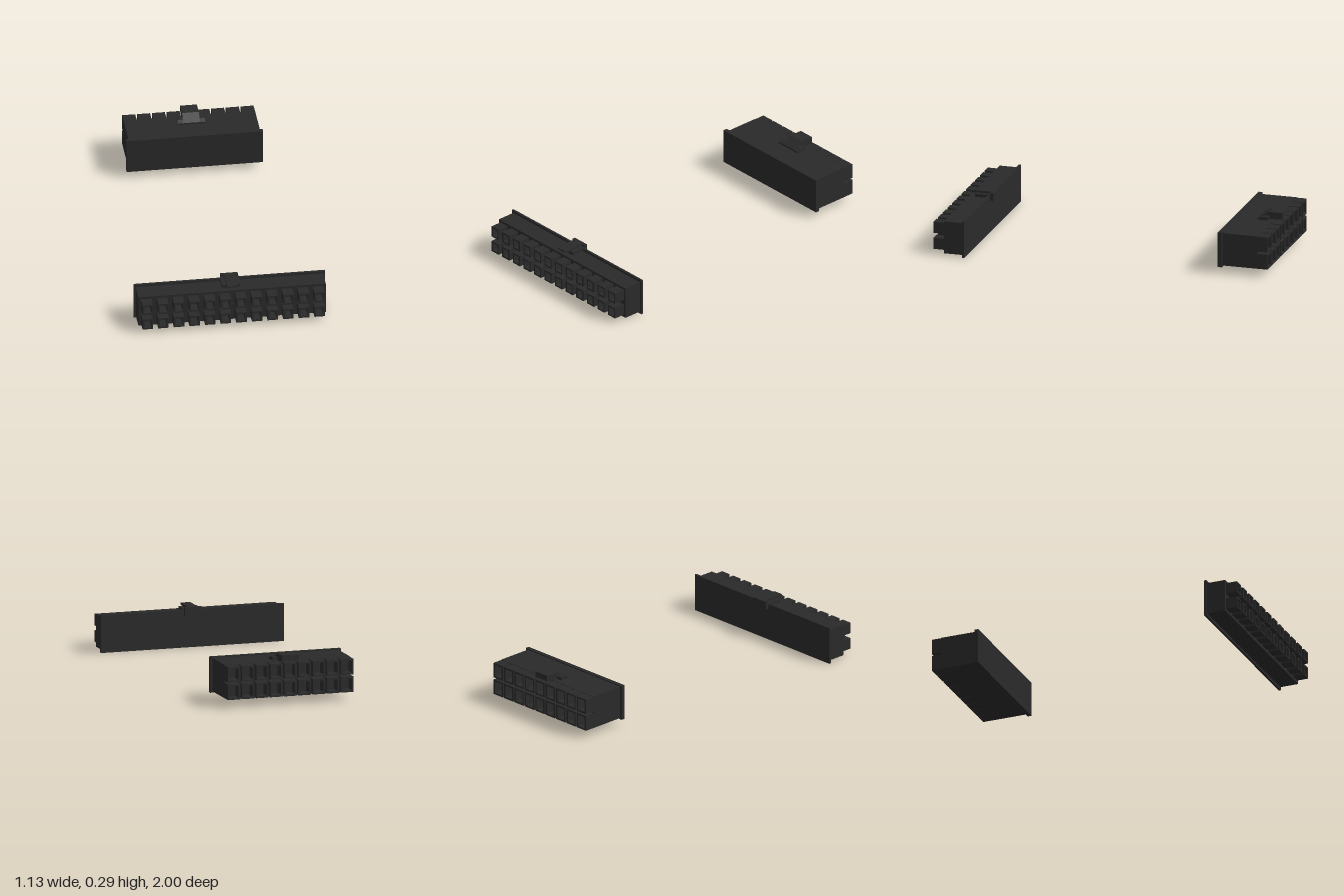
import * as THREE from 'three';

const material = new THREE.MeshStandardMaterial({ color: 0x2a2a2a });

// Box given by its min and max corners
function block(parent, name, [x0, y0, z0], [x1, y1, z1]) {
  const mesh = new THREE.Mesh(new THREE.BoxGeometry(x1 - x0, y1 - y0, z1 - z0), material);
  mesh.name = name;
  mesh.position.set((x0 + x1) / 2, (y0 + y1) / 2, (z0 + z1) / 2);
  parent.add(mesh);
}

// Side profile of [z, y] points, extruded across x from x0 to x1
function profile(parent, name, points, x0, x1) {
  const shape = new THREE.Shape(points.map(([z, y]) => new THREE.Vector2(-z, y)));
  const geometry = new THREE.ExtrudeGeometry(shape, { depth: x1 - x0, bevelEnabled: false });
  geometry.rotateY(Math.PI / 2);
  geometry.translate(x0, 0, 0);
  const mesh = new THREE.Mesh(geometry, material);
  mesh.name = name;
  parent.add(mesh);
}

// Open rectangular tube along +z, w by h with the given wall
function socketGeometry(w, h, depth, wall) {
  const rect = (target, a, b) => target.moveTo(-a, -b).lineTo(a, -b).lineTo(a, b).lineTo(-a, b).closePath();
  const shape = rect(new THREE.Shape(), w / 2, h / 2);
  shape.holes.push(rect(new THREE.Path(), w / 2 - wall, h / 2 - wall));
  return new THREE.ExtrudeGeometry(shape, { depth, bevelEnabled: false });
}

// Two rows of sockets starting at depth z
function socketRows(parent, geometry, columns, pitch, centreX, rows, z) {
  const group = new THREE.Group();
  group.name = 'sockets';
  for (const y of rows) {
    for (let i = 0; i < columns; i++) {
      const socket = new THREE.Mesh(geometry, material);
      socket.name = 'socket';
      socket.position.set(centreX + (i - (columns - 1) / 2) * pitch, y, z);
      group.add(socket);
    }
  }
  parent.add(group);
}

// Long connector, sockets facing the front
function longConnector() {
  const g = new THREE.Group();
  g.name = 'longConnector';
  block(g, 'flange', [-0.565, 0, 0.803], [0.565, 0.225, 0.817]);
  block(g, 'housing', [-0.553, 0.014, 0.81], [0.553, 0.21, 0.93]);
  socketRows(g, socketGeometry(0.062, 0.068, 0.07, 0.01), 12, 0.0922, 0, [0.064, 0.162], 0.93);
  // Latch: broad base, thin lever and hook over the flange
  block(g, 'latchBase', [-0.055, 0.2, 0.8], [0.055, 0.23, 0.895]);
  profile(g, 'latchLever', [[0.79, 0.226], [0.895, 0.226], [0.935, 0.233], [0.935, 0.242], [0.79, 0.242]], -0.03, 0.03);
  block(g, 'latchHook', [-0.052, 0.192, 0.783], [0.052, 0.242, 0.803]);
  return g;
}

// Shorter connector, sockets facing the back
function shortConnector() {
  const g = new THREE.Group();
  g.name = 'shortConnector';
  block(g, 'flange', [-0.397, 0.041, -0.724], [0.409, 0.254, -0.7]);
  block(g, 'housing', [-0.382, 0.048, -0.938], [0.394, 0.247, -0.71]);
  socketRows(g, socketGeometry(0.077, 0.092, 0.062, 0.011), 9, 0.0873, 0.006, [0.094, 0.199], -1);
  // Ramped catch with a wider foot
  profile(g, 'catchFoot', [[-0.845, 0.24], [-0.845, 0.256], [-0.87, 0.267], [-0.907, 0.267], [-0.907, 0.24]], -0.075, 0.088);
  profile(g, 'catch', [[-0.845, 0.245], [-0.845, 0.257], [-0.905, 0.29], [-0.987, 0.29], [-0.987, 0.255], [-0.91, 0.245]], -0.042, 0.057);
  return g;
}

export function createModel() {
  const model = new THREE.Group();
  model.name = 'connectorPair';
  model.add(longConnector(), shortConnector());
  return model;
}
